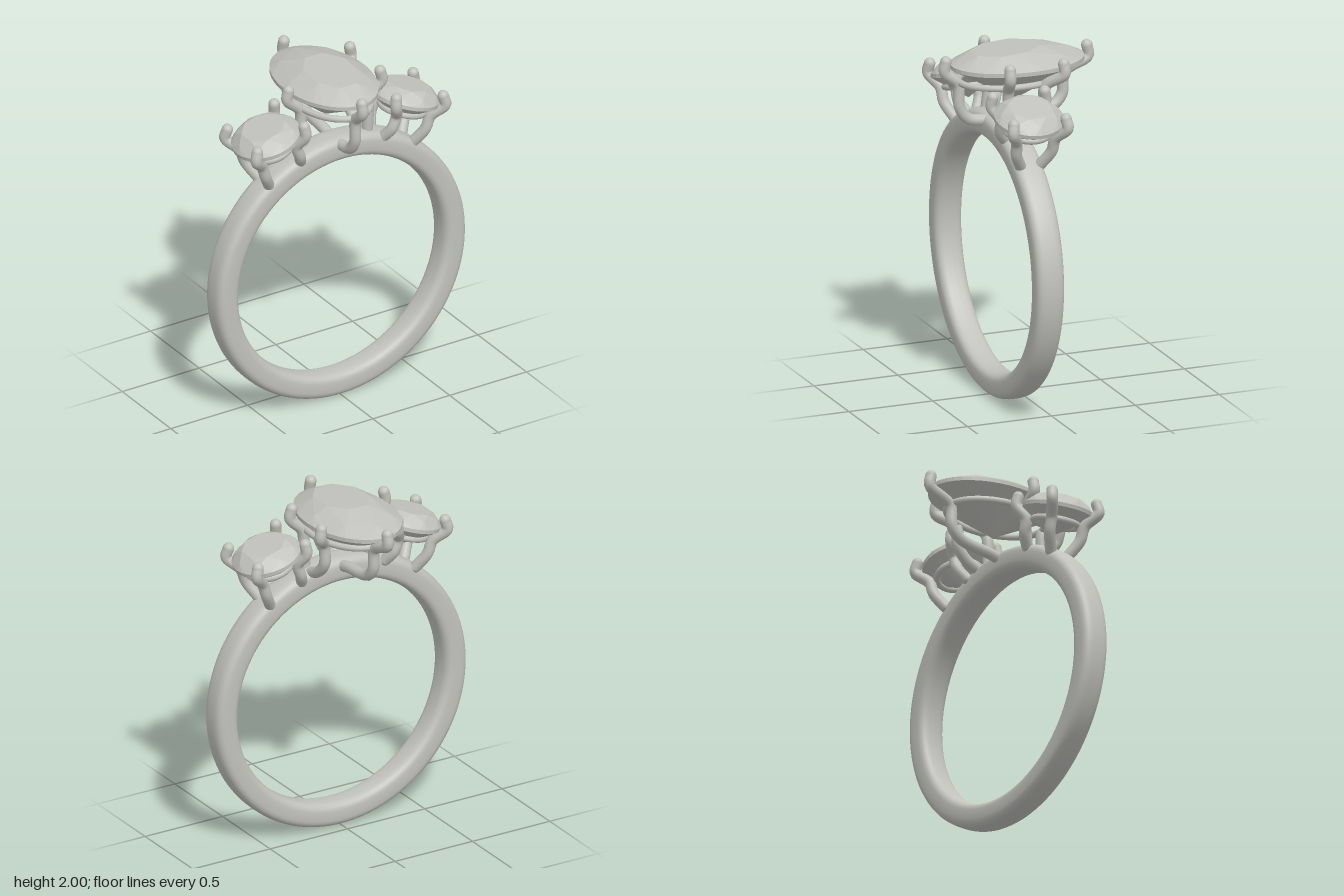
import * as THREE from 'three';
import { ConvexGeometry } from 'three/addons/geometries/ConvexGeometry.js';

const silver = new THREE.MeshStandardMaterial({ color: 0xc0c0bc });
silver.name = 'silver';
const BAND_Z = 0.12;

function part(name, geometry, parent) {
  const mesh = new THREE.Mesh(geometry, silver);
  mesh.name = name;
  parent.add(mesh);
  return mesh;
}

// Rounded wire with ball ends, following a list of [x, y, z]
function prong(name, points, parent, radius = 0.032) {
  const group = new THREE.Group();
  group.name = name;
  const v = points.map((p) => new THREE.Vector3(...p));
  const curve = new THREE.CatmullRomCurve3(v, false, 'centripetal');
  part('wire', new THREE.TubeGeometry(curve, 40, radius, 12), group);
  for (const end of [v[0], v[v.length - 1]]) {
    part('roundedEnd', new THREE.SphereGeometry(radius, 14, 10), group).position.copy(end);
  }
  parent.add(group);
}

// Closed oval wire lying flat
function galleryRing(rx, rz, parent, radius = 0.019) {
  const pts = [];
  for (let i = 0; i < 24; i++) {
    const a = (i / 24) * Math.PI * 2;
    pts.push(new THREE.Vector3(rx * Math.cos(a), 0, rz * Math.sin(a)));
  }
  const curve = new THREE.CatmullRomCurve3(pts, true);
  return part('galleryRing', new THREE.TubeGeometry(curve, 72, radius, 10, true), parent);
}

// Faceted stone: each level is [sides, half-step turn, scale x, scale z, y, z offset, z slope]
function gemGeometry(levels, culet) {
  const pts = [new THREE.Vector3(...culet)];
  for (const [n, turn, rx, rz, y, dz = 0, slope = 0] of levels) {
    for (let i = 0; i < n; i++) {
      const a = ((i + turn) / n) * Math.PI * 2;
      const z = rz * Math.sin(a);
      pts.push(new THREE.Vector3(rx * Math.cos(a), y - slope * z, z + dz));
    }
  }
  return new ConvexGeometry(pts);
}

// Finger band: soft-cornered section turned about the z axis, a little wider at the top
function bandGeometry() {
  const soft = (t, p) => Math.sign(t) * Math.pow(Math.abs(t), p);
  const profile = [];
  for (let i = 0; i <= 32; i++) {
    const a = -Math.PI + (i / 32) * Math.PI * 2;
    profile.push(new THREE.Vector2(0.739 + 0.072 * soft(Math.cos(a), 0.6), 0.083 * soft(Math.sin(a), 0.65)));
  }
  const g = new THREE.LatheGeometry(profile, 128);
  g.rotateX(Math.PI / 2);
  const pos = g.attributes.position;
  for (let i = 0; i < pos.count; i++) pos.setZ(i, pos.getZ(i) * (1 + 0.08 * pos.getY(i)));
  return g;
}

// Tilted round stone with four prongs; s = +1 or -1 picks the side
function sideSetting(s) {
  const setting = new THREE.Group();
  setting.name = s > 0 ? 'leftSetting' : 'rightSetting';
  const head = new THREE.Group();
  head.name = 'tiltedHead';
  head.position.set(s * 0.452, 1.72, BAND_Z - 0.005);
  head.rotation.z = -s * 0.28;
  part('roundStone', gemGeometry([
    [8, 0.5, 0.125, 0.125, 0.075],
    [8, 0, 0.168, 0.168, 0.048],
    [32, 0, 0.196, 0.196, 0.012],
    [32, 0, 0.196, 0.196, -0.01],
    [8, 0, 0.09, 0.09, -0.084],
  ], [0, -0.14, 0]), head);
  galleryRing(0.125, 0.125, head).position.y = -0.068;
  setting.add(head);
  for (const k of [1, -1]) {
    const z = (d) => BAND_Z - 0.008 + k * d;
    prong('outerProng', [
      [s * 0.605, 1.745, z(0.155)], [s * 0.615, 1.69, z(0.162)], [s * 0.55, 1.62, z(0.115)],
      [s * 0.52, 1.54, z(0.105)], [s * 0.47, 1.455, z(0.06)],
    ], setting);
    prong('innerProng', [
      [s * 0.3, 1.815, z(0.155)], [s * 0.295, 1.76, z(0.162)], [s * 0.325, 1.685, z(0.118)],
      [s * 0.3, 1.61, z(0.11)], [s * 0.27, 1.55, z(0.07)],
    ], setting);
  }
  return setting;
}

export function createModel() {
  const ring = new THREE.Group();
  ring.name = 'threeStoneRing';

  part('band', bandGeometry(), ring).position.set(0, 0.811, BAND_Z);

  // Large oval stone in the middle
  const centre = new THREE.Group();
  centre.name = 'centreSetting';
  part('ovalStone', gemGeometry([
    [8, 0.5, 0.145, 0.2, 1.99, 0.07, 0.05],
    [8, 0, 0.215, 0.31, 1.952, 0, 0.02],
    [40, 0, 0.26, 0.386, 1.918, -0.003],
    [40, 0, 0.26, 0.386, 1.895, -0.003],
    [8, 0.5, 0.14, 0.2, 1.805],
  ], [0, 1.69, 0.01]), centre);
  galleryRing(0.205, 0.305, centre).position.set(0, 1.82, 0.033);

  // Five prongs, the front and back ones hooking in to the band
  prong('backProng', [[0, 1.948, -0.418], [0, 1.885, -0.425], [0, 1.81, -0.285],
    [0, 1.685, -0.27], [0, 1.625, -0.215], [0, 1.59, 0], [0, 1.57, 0.08]], centre);
  prong('frontProng', [[-0.018, 1.945, 0.415], [-0.018, 1.885, 0.422], [-0.015, 1.81, 0.345],
    [-0.012, 1.675, 0.335], [-0.012, 1.605, 0.285], [-0.012, 1.58, 0.16]], centre);
  prong('leftBackProng', [[0.272, 1.948, -0.168], [0.28, 1.89, -0.17], [0.205, 1.81, -0.085],
    [0.195, 1.69, -0.078], [0.195, 1.62, -0.02], [0.19, 1.575, 0.07]], centre);
  prong('leftFrontProng', [[0.268, 1.948, 0.15], [0.278, 1.89, 0.152], [0.21, 1.81, 0.135],
    [0.2, 1.69, 0.135], [0.195, 1.57, 0.13]], centre);
  prong('rightProng', [[-0.282, 1.948, 0.076], [-0.29, 1.89, 0.076], [-0.212, 1.81, 0.08],
    [-0.205, 1.69, 0.085], [-0.2, 1.57, 0.1]], centre);
  ring.add(centre);

  for (const s of [1, -1]) ring.add(sideSetting(s));
  return ring;
}
